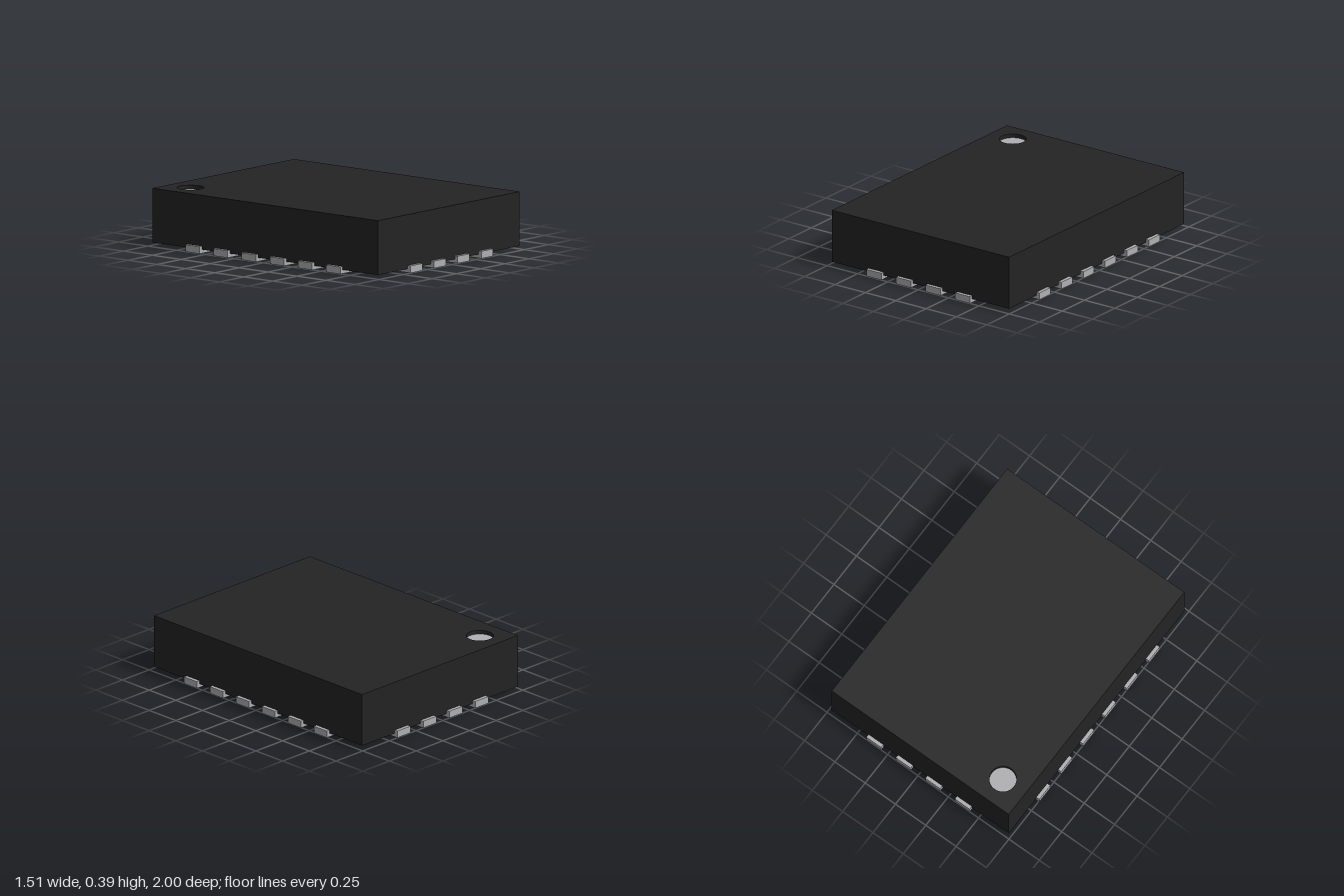
import * as THREE from 'three';

const BODY = { x: 0.73, z: 0.975, bottom: 0.025, top: 0.39 };
const RECESS = { x: -0.55, z: -0.797, radius: 0.09, depth: 0.03 };
const LEAD = { width: 0.122, length: 0.215, height: 0.048, pitch: 0.2433, overhang: 0.025 };

// Extrude a plan outline (x, -z) upwards from y = 0
function extrudeUp(shape, height) {
  const geometry = new THREE.ExtrudeGeometry(shape, { depth: height, bevelEnabled: false, curveSegments: 32 });
  return geometry.rotateX(-Math.PI / 2);
}

export function createModel() {
  const model = new THREE.Group();
  model.name = 'chipPackage';
  const plastic = new THREE.MeshStandardMaterial({ name: 'black plastic', color: 0x232323 });
  const metal = new THREE.MeshStandardMaterial({ name: 'grey metal', color: 0xb0b0b3 });

  function add(name, geometry, material, x, y, z, parent = model) {
    const mesh = new THREE.Mesh(geometry, material);
    mesh.name = name;
    mesh.position.set(x, y, z);
    parent.add(mesh);
    return mesh;
  }

  // Body: solid lower block and an upper layer with the round recess
  const floor = BODY.top - RECESS.depth;
  const lowerHeight = floor - BODY.bottom;
  add('bodyLower', new THREE.BoxGeometry(BODY.x * 2, lowerHeight, BODY.z * 2), plastic,
    0, BODY.bottom + lowerHeight / 2, 0);

  const outline = new THREE.Shape();
  outline.moveTo(-BODY.x, -BODY.z);
  outline.lineTo(BODY.x, -BODY.z);
  outline.lineTo(BODY.x, BODY.z);
  outline.lineTo(-BODY.x, BODY.z);
  outline.closePath();
  const hole = new THREE.Path();
  hole.absarc(RECESS.x, -RECESS.z, RECESS.radius, 0, Math.PI * 2, true);
  outline.holes.push(hole);
  add('bodyUpper', extrudeUp(outline, RECESS.depth), plastic, 0, floor, 0);

  // Orientation dot on the recess floor
  add('orientationDot', new THREE.CylinderGeometry(RECESS.radius, RECESS.radius, 0.004, 48), metal,
    RECESS.x, floor + 0.002, RECESS.z);

  // Thermal pad underneath
  add('thermalPad', new THREE.BoxGeometry(0.8, 0.04, 1.3), metal, 0, 0.02, 0);

  // Lead: square outer end at x = 0, rounded inner end
  const r = LEAD.width / 2;
  const leadShape = new THREE.Shape();
  leadShape.moveTo(0, -r);
  leadShape.lineTo(0, r);
  leadShape.lineTo(-LEAD.length + r, r);
  leadShape.absarc(-LEAD.length + r, 0, r, Math.PI / 2, Math.PI * 1.5, false);
  leadShape.closePath();
  const leadGeometry = extrudeUp(leadShape, LEAD.height);

  // Rows of leads: six on each long side, four on each end
  const rows = [
    ['leadsLeft', 6, BODY.x, 0],
    ['leadsBack', 4, BODY.z, Math.PI / 2],
    ['leadsRight', 6, BODY.x, Math.PI],
    ['leadsFront', 4, BODY.z, -Math.PI / 2],
  ];
  for (const [name, count, edge, angle] of rows) {
    const row = new THREE.Group();
    row.name = name;
    row.rotation.y = angle;
    for (let i = 0; i < count; i++) {
      add('lead', leadGeometry, metal, edge + LEAD.overhang, 0, (i - (count - 1) / 2) * LEAD.pitch, row);
    }
    model.add(row);
  }

  return model;
}
